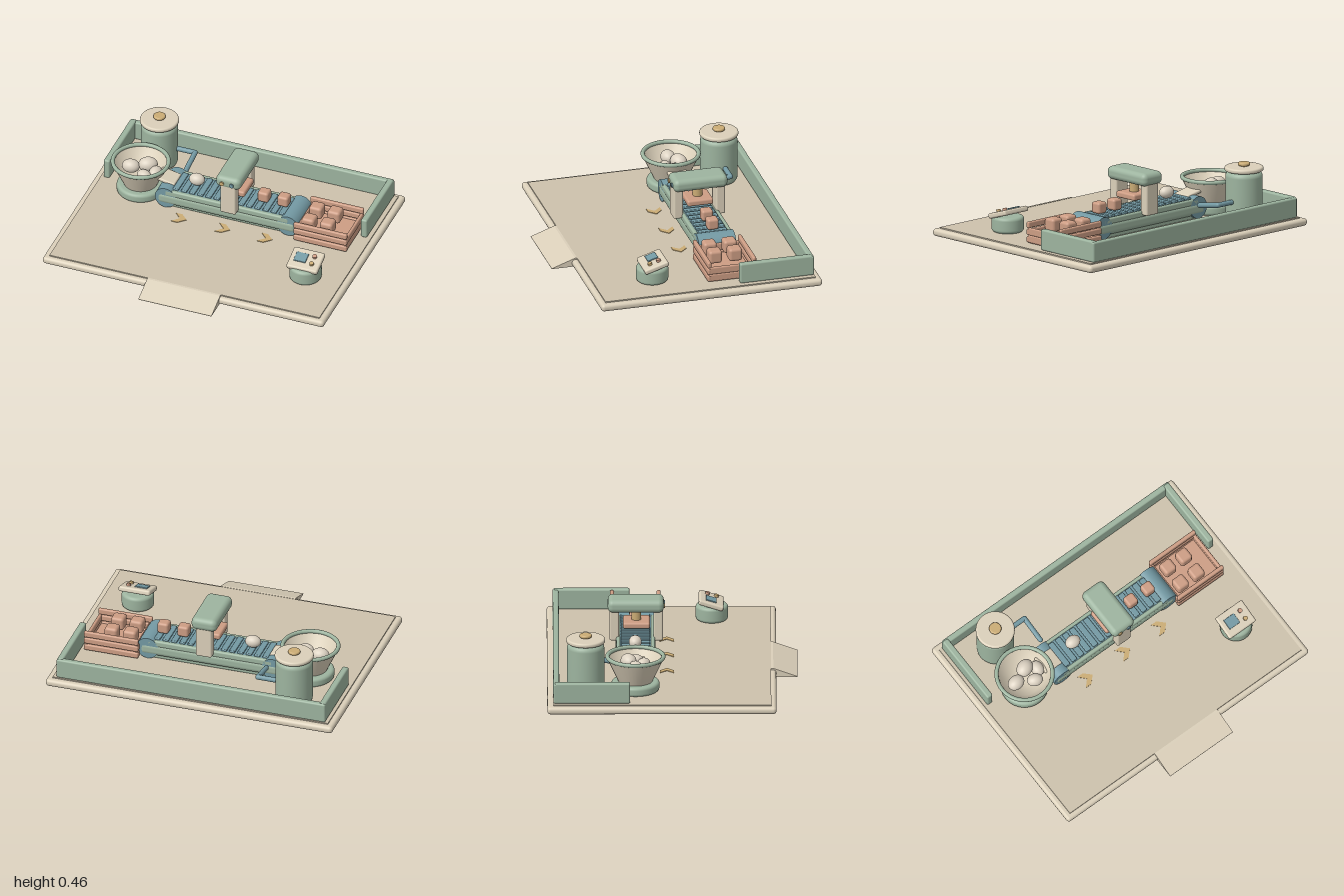
import * as THREE from 'three';
import { RoundedBoxGeometry } from 'three/addons/geometries/RoundedBoxGeometry.js';

const material = (name, color, side = THREE.FrontSide) => {
  const m = new THREE.MeshStandardMaterial({ color, side });
  m.name = name;
  return m;
};

export function createModel() {
  const model = new THREE.Group();
  model.name = 'sweetFactory';
  const cream = material('cream', 0xdbd0ba);
  const floor = material('floor beige', 0xcdc2ac);
  const sage = material('sage green', 0x9db49f);
  const teal = material('dusty teal', 0x7399a3);
  const coral = material('clay pink', 0xcd9d84);
  const gold = material('soft gold', 0xcbac75);
  const eggshell = material('eggshell', 0xdcd2c2);

  const add = (name, geo, mat, x = 0, y = 0, z = 0, parent = model) => {
    const mesh = new THREE.Mesh(geo, mat);
    mesh.name = name;
    mesh.position.set(x, y, z);
    parent.add(mesh);
    return mesh;
  };
  const group = (name, x = 0, y = 0, z = 0) => {
    const g = new THREE.Group();
    g.name = name;
    g.position.set(x, y, z);
    model.add(g);
    return g;
  };
  // Rounded block given by its extents on each axis
  const block = (name, mat, [x0, x1], [y0, y1], [z0, z1], r = 0.012, parent = model) =>
    add(name, new RoundedBoxGeometry(x1 - x0, y1 - y0, z1 - z0, 3, r), mat,
      (x0 + x1) / 2, (y0 + y1) / 2, (z0 + z1) / 2, parent);
  // Upright drum with rounded top and bottom edges
  const drum = (name, mat, radius, y0, y1, r, parent) => {
    const pts = [new THREE.Vector2(0, y0), new THREE.Vector2(radius - r - 0.001, y0)];
    for (let i = 0; i <= 5; i++) {
      const a = -Math.PI / 2 + i * Math.PI / 10;
      pts.push(new THREE.Vector2(radius - r + r * Math.cos(a), y0 + r + r * Math.sin(a)));
    }
    for (let i = 0; i <= 5; i++) {
      const a = i * Math.PI / 10;
      pts.push(new THREE.Vector2(radius - r + r * Math.cos(a), y1 - r + r * Math.sin(a)));
    }
    pts.push(new THREE.Vector2(radius - r - 0.001, y1), new THREE.Vector2(0, y1));
    return add(name, new THREE.LatheGeometry(pts, 40), mat, 0, 0, 0, parent);
  };
  // Round pipe through a list of points, with ball joints
  const pipe = (name, mat, radius, points) => {
    const p = points.map((q) => new THREE.Vector3(...q));
    p.forEach((v, i) => {
      add(name + 'Joint', new THREE.SphereGeometry(radius, 16, 10), mat, v.x, v.y, v.z);
      if (i) add(name, new THREE.TubeGeometry(new THREE.LineCurve3(p[i - 1], v), 1, radius, 14), mat);
    });
  };
  const egg = (name, x, y, z, s, turn, parent = model) => {
    const e = add(name, new THREE.SphereGeometry(s, 24, 16), eggshell, x, y, z, parent);
    e.scale.set(1.2, 0.92, 0.95);
    e.rotation.y = turn;
  };

  // Base slab, floor and entrance ramp
  block('baseSlab', cream, [-1, 1], [0, 0.05], [-0.83, 0.69], 0.022);
  add('floorPlate', new THREE.BoxGeometry(1.92, 0.02, 1.445), floor, 0, 0.048, -0.0675);
  const wedge = new THREE.Shape([[0.655, 0], [0.83, 0], [0.83, 0.003], [0.67, 0.06], [0.655, 0.06]]
    .map((p) => new THREE.Vector2(...p)));
  const ramp = add('ramp', new THREE.ExtrudeGeometry(wedge, { depth: 0.52, bevelEnabled: false }), cream, 0.26);
  ramp.rotation.y = -Math.PI / 2;

  // Low walls around the back
  block('backWall', sage, [-0.94, 0.935], [0.058, 0.195], [-0.79, -0.75]);
  for (const x of [-0.918, 0.912])
    block('sideWall', sage, [x - 0.022, x + 0.022], [0.058, 0.2], [-0.78, -0.28]);

  // Floor arrows
  const arrow = new THREE.Shape([[-0.045, 0.047], [0, 0.047], [0.047, 0], [0, -0.047], [-0.045, -0.047], [0, 0]]
    .map((p) => new THREE.Vector2(...p)));
  for (const x of [-0.3, 0.01, 0.31]) {
    const a = add('floorArrow', new THREE.ExtrudeGeometry(arrow, { depth: 0.004, bevelEnabled: false }),
      gold, x, 0.058, -0.035);
    a.rotation.x = -Math.PI / 2;
  }

  // Storage tank with lid and knob
  const tank = group('tank', -0.655, 0, -0.575);
  drum('tankBody', sage, 0.124, 0.058, 0.388, 0.035, tank);
  drum('tankLid', cream, 0.13, 0.39, 0.42, 0.012, tank);
  drum('knobNeck', gold, 0.025, 0.415, 0.43, 0.004, tank);
  drum('knob', gold, 0.041, 0.424, 0.446, 0.009, tank);
  pipe('tankPipe', teal, 0.017, [[-0.55, 0.195, -0.585], [-0.405, 0.195, -0.585], [-0.405, 0.165, -0.41]]);

  // Hopper full of eggs
  const hopper = group('hopper', -0.66, 0, -0.245);
  drum('hopperFoot', sage, 0.16, 0.058, 0.122, 0.02, hopper);
  const bowl = [[0.108, 0.11], [0.192, 0.29], [0.182, 0.29], [0.098, 0.14], [0, 0.14]]
    .map((p) => new THREE.Vector2(...p));
  add('hopperBowl', new THREE.LatheGeometry(bowl, 40), cream, 0, 0, 0, hopper);
  const rim = add('hopperRim', new THREE.TorusGeometry(0.186, 0.014, 12, 48), sage, 0, 0.291, 0, hopper);
  rim.rotation.x = Math.PI / 2;
  egg('hopperEgg', -0.07, 0.235, 0, 0.05, 0.1, hopper);
  egg('hopperEgg', 0.035, 0.245, -0.045, 0.054, 0.4, hopper);
  egg('hopperEgg', 0.045, 0.22, 0.055, 0.045, -0.4, hopper);
  egg('hopperEgg', 0.105, 0.225, 0.0, 0.045, 1.5, hopper);
  const chute = add('chute', new RoundedBoxGeometry(0.14, 0.025, 0.13, 3, 0.01), cream, -0.465, 0.216, -0.245);
  chute.rotation.z = -0.2;

  // Conveyor: bed, rails, belt slats and rounded ends
  block('conveyorFoot', sage, [-0.46, 0.46], [0.058, 0.1], [-0.35, -0.14]);
  block('conveyorBed', sage, [-0.5, 0.495], [0.083, 0.175], [-0.375, -0.11], 0.035);
  add('belt', new THREE.BoxGeometry(0.86, 0.05, 0.21), teal, 0, 0.17, -0.243);
  for (const z of [-0.357, -0.128])
    block('conveyorRail', sage, [-0.44, 0.44], [0.155, 0.2], [z - 0.014, z + 0.014]);
  for (let i = 0; i < 14; i++) {
    const x = -0.375 + i * 0.058;
    block('beltSlat', teal, [x - 0.02, x + 0.02], [0.185, 0.208], [-0.34, -0.146], 0.006);
  }
  for (const s of [-1, 1]) {
    const end = add('conveyorEnd', new THREE.CylinderGeometry(0.075, 0.075, 0.256, 32, 1, false, 0, Math.PI),
      teal, s * 0.435, 0.138, -0.243);
    end.rotation.set(Math.PI / 2, -Math.PI / 2, 0, 'XYZ');
    end.geometry = new THREE.CylinderGeometry(0.075, 0.075, 0.256, 32);
    end.rotation.set(Math.PI / 2, 0, 0);
  }

  // Goods on the belt
  egg('beltEgg', -0.26, 0.25, -0.245, 0.045, 0);
  const sweet = (x, y, z, s) =>
    add('sweet', new RoundedBoxGeometry(s, s, s, 3, s * 0.22), coral, x, y, z);
  for (const x of [0.22, 0.36]) sweet(x, 0.25, -0.245, 0.077);

  // Press straddling the belt
  for (const z of [-0.092, -0.383])
    block('pressPost', cream, [-0.025, 0.085], [0.17, 0.4], [z - 0.032, z + 0.032], 0.012);
  block('pressHead', sage, [-0.06, 0.118], [0.372, 0.46], [-0.427, -0.055], 0.035);
  add('pressRod', new THREE.CylinderGeometry(0.032, 0.032, 0.1, 24), gold, 0.03, 0.34, -0.237);
  block('pressPlate', coral, [-0.055, 0.115], [0.262, 0.305], [-0.325, -0.147], 0.014);
  [[-0.01, gold], [0.06, teal]].forEach(([x, mat]) => {
    const lamp = add('pressLamp', new THREE.CylinderGeometry(0.015, 0.015, 0.014, 20), mat, x, 0.412, -0.054);
    lamp.rotation.x = Math.PI / 2;
  });

  // Slatted crate with packed sweets
  block('crateFloor', coral, [0.5, 0.86], [0.06, 0.1], [-0.4, -0.085]);
  for (const y of [0.087, 0.137, 0.185]) {
    for (const z of [-0.397, -0.088])
      block('crateSideSlat', coral, [0.49, 0.868], [y - 0.021, y + 0.021], [z - 0.013, z + 0.013], 0.009);
    if (y < 0.18) for (const x of [0.503, 0.855])
      block('crateEndSlat', coral, [x - 0.011, x + 0.011], [y - 0.021, y + 0.03], [-0.4, -0.085], 0.009);
  }
  for (const x of [0.572, 0.702]) for (const z of [-0.303, -0.165]) sweet(x, 0.178, z, 0.09);

  // Control stand with sloping panel
  const stand = group('controlStand', 0.71, 0, 0.265);
  drum('standBody', sage, 0.108, 0.058, 0.165, 0.022, stand);
  const panel = new THREE.Group();
  panel.name = 'controlPanel';
  panel.position.set(0, 0.187, -0.005);
  panel.rotation.x = 0.3;
  stand.add(panel);
  block('panelBoard', cream, [-0.11, 0.11], [-0.018, 0.018], [-0.085, 0.085], 0.013, panel);
  block('panelScreen', teal, [-0.075, 0.01], [0.015, 0.025], [-0.042, 0.032], 0.003, panel);
  [[-0.032, coral], [0.03, gold]].forEach(([z, mat]) =>
    add('panelButton', new THREE.CylinderGeometry(0.015, 0.015, 0.018, 20), mat, 0.055, 0.024, z, panel));

  return model;
}
